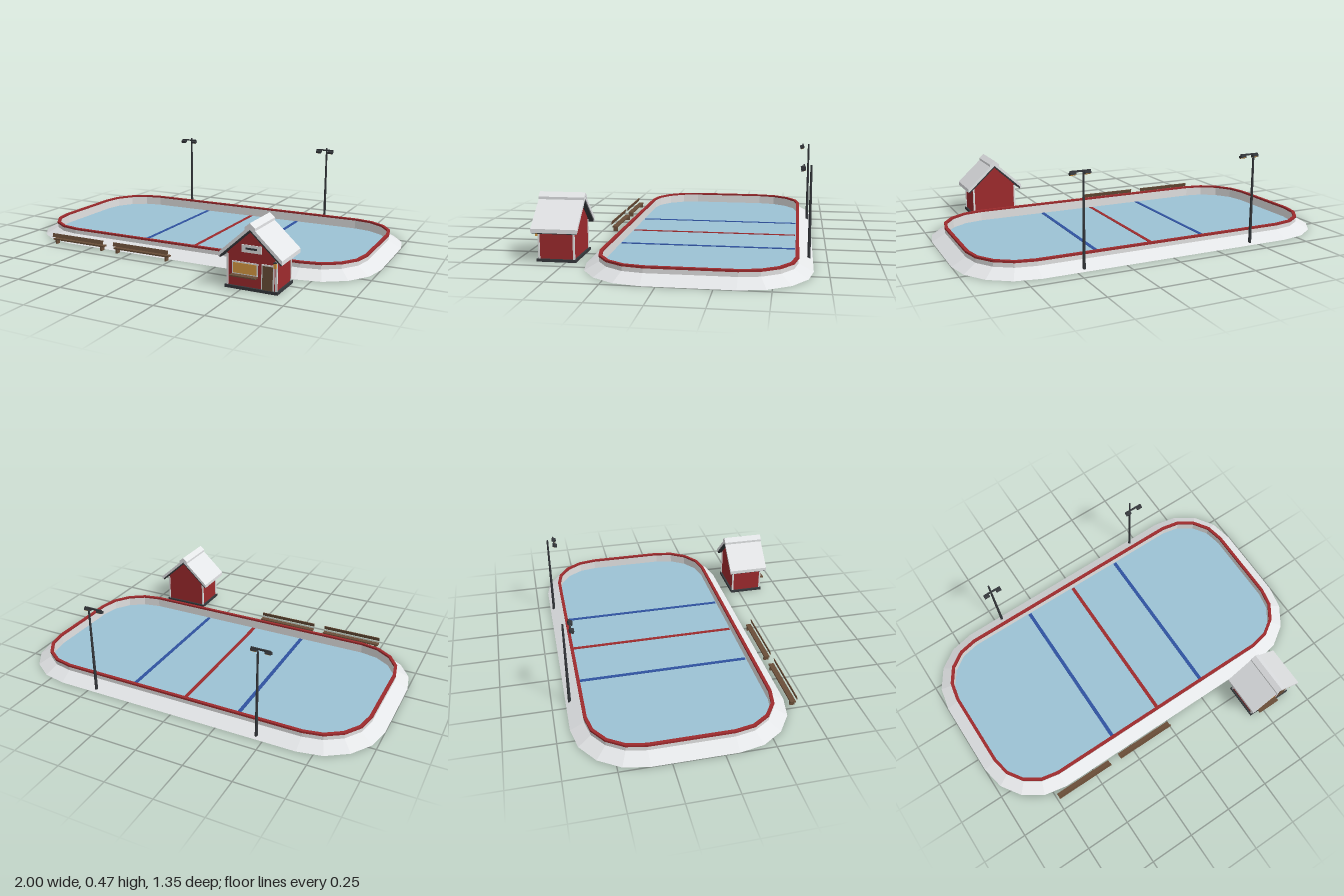
import * as THREE from 'three';

const mat = (name, color, side = THREE.FrontSide) => {
  const m = new THREE.MeshStandardMaterial({ color, side, flatShading: true });
  m.name = name;
  return m;
};

export function createModel() {
  const snow = mat('snow', 0xe9ebed, THREE.DoubleSide);
  const white = mat('white paint', 0xe2e2e2);
  const ice = mat('ice', 0x9cc2d4);
  const red = mat('red paint', 0x9e2a2d);
  const blue = mat('blue paint', 0x2f52a0);
  const dark = mat('dark metal', 0x35383c);
  const wood = mat('wood', 0x6a4e38);
  const gold = mat('warm light', 0xdc9c42);

  const model = new THREE.Group();
  const group = (name, x = 0, y = 0, z = 0, parent = model) => {
    const g = new THREE.Group();
    g.name = name;
    g.position.set(x, y, z);
    parent.add(g);
    return g;
  };
  const add = (parent, name, geo, material, x = 0, y = 0, z = 0) => {
    const m = new THREE.Mesh(geo, material);
    m.name = name;
    m.position.set(x, y, z);
    parent.add(m);
    return m;
  };
  const box = (parent, name, material, w, h, d, x, y, z) =>
    add(parent, name, new THREE.BoxGeometry(w, h, d), material, x, y, z);

  // Rounded rink outline, moved inwards by an inset
  const outline = (inset) => {
    const pts = [], r = 0.33 - inset;
    [[1, 1], [-1, 1], [-1, -1], [1, -1]].forEach(([sx, sz], q) => {
      for (let i = 0; i <= 4; i++) {
        const t = (q + i / 4) * Math.PI / 2;
        pts.push([sx * 0.67 + r * Math.cos(t), sz * 0.21 + r * Math.sin(t)]);
      }
    });
    return pts;
  };

  // Sweep an [inset, height] profile around the outline
  const sweep = (profile) => {
    const pos = [];
    const rings = profile.map(([inset, y]) => outline(inset).map(([x, z]) => [x, y, z]));
    for (let k = 0; k < rings.length - 1; k++) {
      const lo = rings[k], hi = rings[k + 1];
      for (let i = 0; i < lo.length; i++) {
        const j = (i + 1) % lo.length;
        pos.push(...lo[i], ...hi[i], ...hi[j], ...lo[i], ...hi[j], ...lo[j]);
      }
    }
    const g = new THREE.BufferGeometry();
    g.setAttribute('position', new THREE.Float32BufferAttribute(pos, 3));
    g.computeVertexNormals();
    return g;
  };

  // Rink: snow bank, boards, red rail, ice and lines
  const rink = group('rink', 0, 0, -0.14);
  add(rink, 'snowBank', sweep([[0, 0], [0.07, 0.038]]), snow);
  add(rink, 'boards', sweep([[0.071, 0], [0.071, 0.061], [0.083, 0.061], [0.083, 0], [0.071, 0]]), white);
  add(rink, 'topRail', sweep([[0.068, 0.06], [0.068, 0.07], [0.085, 0.07], [0.085, 0.06], [0.068, 0.06]]), red);
  const iceShape = new THREE.Shape(outline(0.08).map(([x, z]) => new THREE.Vector2(x, z)));
  const iceGeo = new THREE.ExtrudeGeometry(iceShape, { depth: 0.01, bevelEnabled: false });
  iceGeo.rotateX(-Math.PI / 2);
  add(rink, 'iceSheet', iceGeo, ice, 0, 0.002, 0);
  box(rink, 'centreLine', red, 0.02, 0.003, 0.905, 0, 0.0125, 0);
  for (const s of [-1, 1]) box(rink, 'blueLine', blue, 0.02, 0.003, 0.905, s * 0.305, 0.0125, 0);

  // Floodlights behind the rink
  for (const s of [-1, 1]) {
    const f = group('floodlight', s * 0.46, 0, -0.66);
    add(f, 'lowerPole', new THREE.CylinderGeometry(0.0065, 0.008, 0.25, 8), dark, 0, 0.125, 0);
    add(f, 'upperPole', new THREE.CylinderGeometry(0.005, 0.0065, 0.22, 8), dark, 0, 0.358, 0);
    box(f, 'crossbar', dark, 0.1, 0.008, 0.008, 0, 0.461, 0.034);
    for (const h of [-1, 1]) {
      const head = group('lampHead', h * 0.036, 0.451, 0.038, f);
      head.rotation.x = 0.35;
      box(head, 'lampHousing', dark, 0.03, 0.013, 0.022, 0, 0, 0);
      box(head, 'lampLens', gold, 0.024, 0.002, 0.017, 0, -0.0072, 0);
    }
  }

  // Spectator benches
  for (const x of [-0.57, -0.17]) {
    const b = group('bench', x, 0, 0.426);
    box(b, 'seat', wood, 0.335, 0.008, 0.028, 0, 0.026, 0);
    for (const s of [-1, 1]) box(b, 'benchLeg', wood, 0.01, 0.023, 0.026, s * 0.15, 0.0115, 0);
    box(b, 'backrest', wood, 0.335, 0.021, 0.004, 0, 0.05, 0.017).rotation.x = -0.25;
  }

  // Hut, with its front towards +z
  const hut = group('hut', 0.55, 0, 0.547);
  const prism = (pts, depth) => {
    const g = new THREE.ExtrudeGeometry(
      new THREE.Shape(pts.map(([x, y]) => new THREE.Vector2(x, y))), { depth, bevelEnabled: false });
    return g.translate(0, 0, -depth / 2);
  };
  // Two-sided roof layer whose peak and eave give the top edge
  const chevron = (peak, eave, half, thick, depth) => prism([
    [-half, eave], [-half, eave - thick], [0, peak - thick],
    [half, eave - thick], [half, eave], [0, peak]], depth);
  box(hut, 'hutBase', dark, 0.262, 0.014, 0.196, 0, 0.007, 0);
  add(hut, 'hutWalls', prism([[-0.122, 0.012], [0.122, 0.012], [0.122, 0.168], [0, 0.285], [-0.122, 0.168]], 0.176), red);
  for (const sx of [-1, 1]) for (const sz of [-1, 1])
    box(hut, 'cornerTrim', white, 0.009, 0.148, 0.009, sx * 0.121, 0.088, sz * 0.087);
  add(hut, 'roofUnderside', chevron(0.295, 0.157, 0.15, 0.014, 0.222), dark);
  add(hut, 'roofSnow', chevron(0.312, 0.168, 0.157, 0.02, 0.23), snow);
  add(hut, 'ridgeCap', chevron(0.323, 0.301, 0.026, 0.016, 0.232), snow);

  // Painted and fitted details on the hut front
  const front = 0.088;
  const panel = (name, m, w, h, x, y, lift) => box(hut, name, m, w, h, 0.004, x, y, front + lift);
  panel('signBoard', white, 0.098, 0.036, 0, 0.196, 0.003);
  panel('signBar', dark, 0.056, 0.009, 0, 0.197, 0.005);
  panel('windowFrame', white, 0.128, 0.062, -0.032, 0.1, 0.002);
  panel('windowPane', gold, 0.115, 0.049, -0.032, 0.1, 0.004);
  box(hut, 'servingShelf', wood, 0.13, 0.006, 0.032, -0.032, 0.068, front + 0.018);
  panel('doorFrame', white, 0.062, 0.122, 0.08, 0.073, 0.002);
  panel('door', wood, 0.05, 0.114, 0.08, 0.07, 0.004);
  box(hut, 'wallLantern', gold, 0.011, 0.024, 0.012, 0.118, 0.137, front + 0.01);
  box(hut, 'lanternCap', dark, 0.014, 0.004, 0.015, 0.118, 0.151, front + 0.01);

  return model;
}
